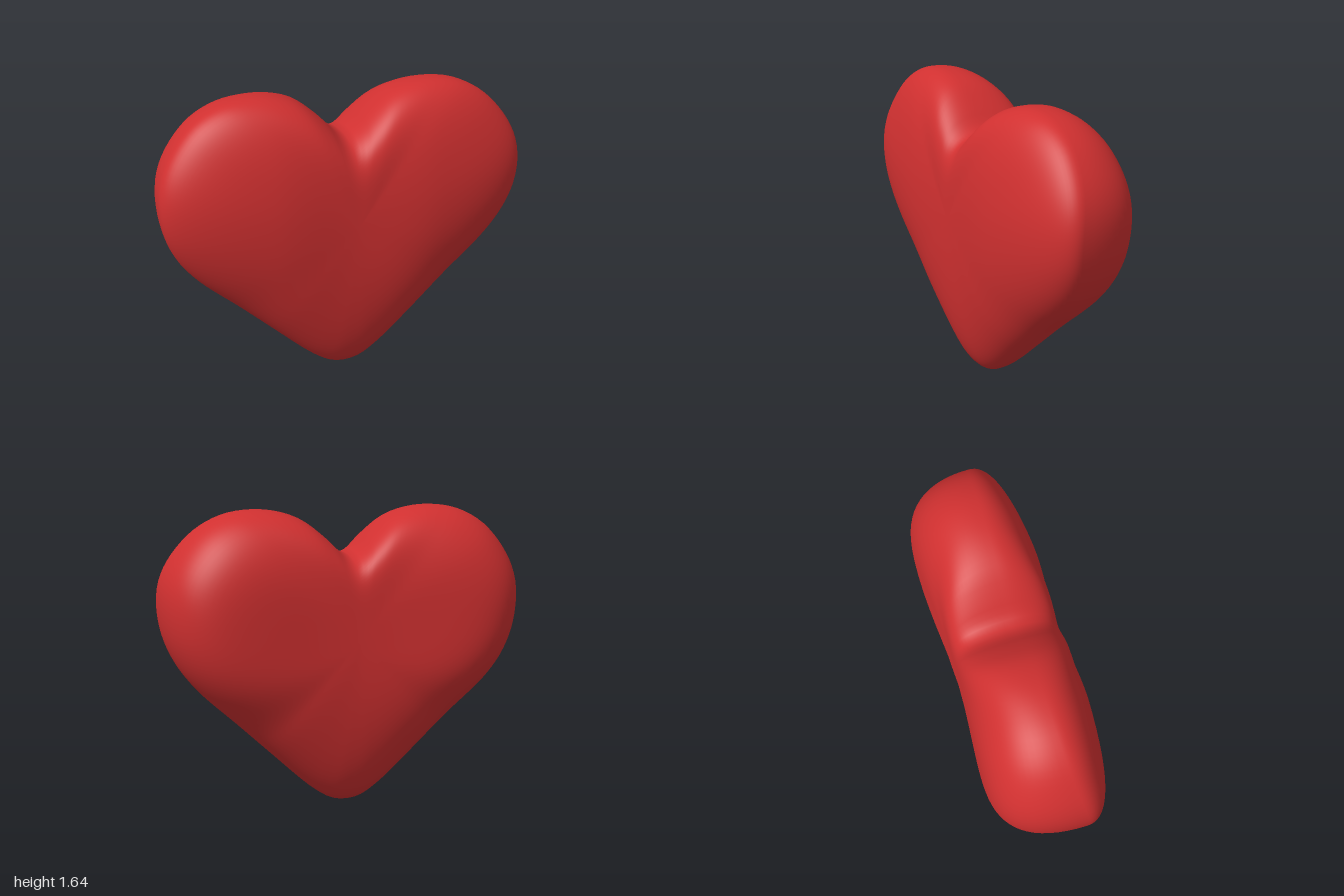
import * as THREE from 'three';
import { mergeVertices } from 'three/addons/utils/BufferGeometryUtils.js';

const { smoothstep, lerp, radToDeg } = THREE.MathUtils;

// Right half of the heart outline, from the cleft down to the tip
const HALF = [
  [0, 1.395], [0.05, 1.415], [0.13, 1.49], [0.25, 1.58], [0.38, 1.622], [0.52, 1.63],
  [0.66, 1.605], [0.8, 1.53], [0.92, 1.4], [0.98, 1.28], [1, 1.15], [0.98, 0.98],
  [0.92, 0.83], [0.82, 0.69], [0.6, 0.477], [0.4, 0.283], [0.25, 0.138], [0.17, 0.07],
  [0.08, 0.014], [0, 0],
];
const CENTRE_Y = 0.95;
const AROUND = 144;
const RINGS = 28; // rings on each face, from the middle to the rim

// Squareness of the rounded edge, by angle from the tip round to the cleft
const ANGLES = [0, 40, 100, 143, 180];
const FRONT_EDGE = [2.2, 2.6, 3, 2.3, 5];
const BACK_EDGE = [2.1, 3, 8, 3.8, 7];

function heartOutline() {
  const mirrored = HALF.slice(1, -1).reverse()
    .map(([x, y]) => [-x, y + 0.012 * smoothstep(y, 1.3, 1.6)]);
  const points = [...HALF, ...mirrored].map(([x, y]) => new THREE.Vector3(x, y, 0));
  return new THREE.CatmullRomCurve3(points, true).getSpacedPoints(AROUND).slice(0, AROUND);
}

function edgePower(p, table) {
  const angle = radToDeg(Math.atan2(Math.abs(p.x), CENTRE_Y - p.y));
  let k = 0;
  while (k < ANGLES.length - 2 && angle > ANGLES[k + 1]) k++;
  return lerp(table[k], table[k + 1], smoothstep(angle, ANGLES[k], ANGLES[k + 1]));
}

// Depth of the full, unrounded face at a given distance from the middle line
const frontDepth = (x) => 0.29 + 0.03 * smoothstep(Math.abs(x), 0, 0.45);
const backDepth = (x) => -0.28 - 0.05 * smoothstep(Math.abs(x), 0, 0.8);

// Concentric heart rings run from the front middle over the rim to the back middle
function heartGeometry() {
  const outline = heartOutline();
  const positions = [];
  const index = [];
  for (let r = -RINGS; r <= RINGS; r++) {
    const front = r < 0;
    const s = 1 - (r / RINGS) ** 2;
    for (const p of outline) {
      const h = Math.pow(1 - Math.pow(s, edgePower(p, front ? FRONT_EDGE : BACK_EDGE)), 1 / 2.2);
      // The widest line of the rim leans forward at the sides
      const rimZ = 0.03 + 0.09 * Math.abs(p.x) * Math.exp(-(((p.y - 1.1) / 0.4) ** 2));
      const x = p.x * s;
      const y = CENTRE_Y + (p.y - CENTRE_Y) * s;
      const depth = front ? frontDepth(x) : backDepth(x);
      positions.push(x, y, lerp(rimZ, depth, h));
    }
  }
  const last = RINGS * 2 - 1;
  for (let r = 0; r <= last; r++) {
    for (let i = 0; i < AROUND; i++) {
      const a = r * AROUND + i, b = r * AROUND + ((i + 1) % AROUND);
      const c = a + AROUND, d = b + AROUND;
      // The first and last rings are single points
      if (r < last) index.push(a, d, c);
      else index.push(a, b, c);
      if (r > 0 && r < last) index.push(a, b, d);
    }
  }
  const geometry = new THREE.BufferGeometry();
  geometry.setAttribute('position', new THREE.Float32BufferAttribute(positions, 3));
  geometry.setIndex(index);
  const merged = mergeVertices(geometry, 1e-5);
  merged.computeVertexNormals();
  return merged;
}

export function createModel() {
  const group = new THREE.Group();
  group.name = 'heart';
  const material = new THREE.MeshStandardMaterial({ color: 0xd03030 });
  const body = new THREE.Mesh(heartGeometry(), material);
  body.name = 'heartBody';
  group.add(body);
  return group;
}
